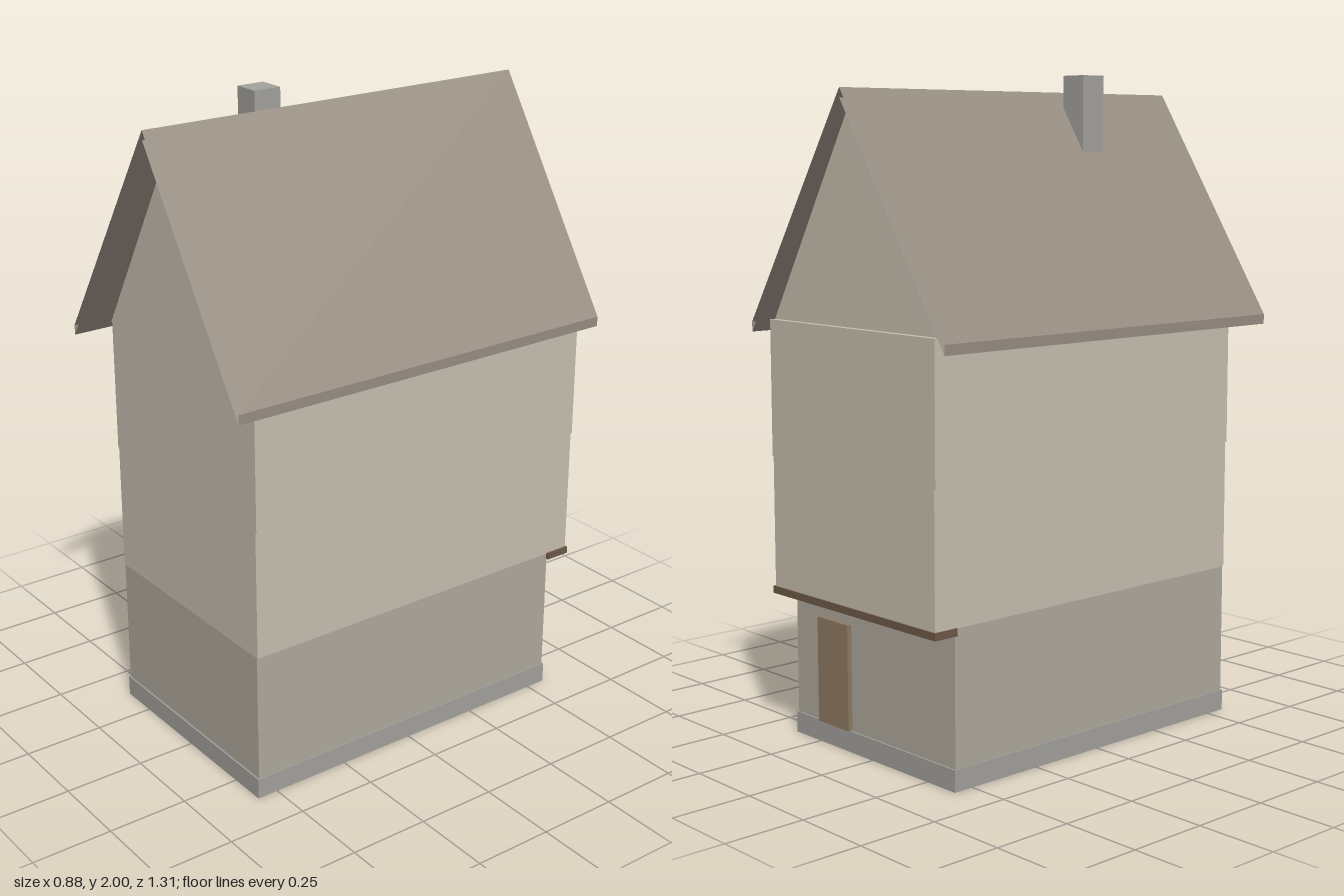
import * as THREE from 'three';

const mat = (color, side = THREE.FrontSide) =>
  new THREE.MeshStandardMaterial({ color, side, flatShading: true });

export function createModel() {
  const house = new THREE.Group();
  house.name = 'house';

  const plaster = mat(0xc8bfb0);
  const groundPlaster = mat(0xb1aa9d);
  const stone = mat(0xa3a29d);
  const timber = mat(0x6e5a48);
  const doorWood = mat(0x8f7a64);
  const tiles = mat(0x988e83, THREE.DoubleSide);

  // Box given by its extents on each axis
  function box(name, [x0, x1], [y0, y1], [z0, z1], material) {
    const mesh = new THREE.Mesh(new THREE.BoxGeometry(x1 - x0, y1 - y0, z1 - z0), material);
    mesh.position.set((x0 + x1) / 2, (y0 + y1) / 2, (z0 + z1) / 2);
    mesh.name = name;
    house.add(mesh);
  }

  // Storeys, each slightly wider than the one below; the upper ones jut out at the back
  box('plinth', [-0.37, 0.37], [0, 0.065], [-0.565, 0.567], stone);
  box('groundFloor', [-0.367, 0.367], [0.065, 0.47], [-0.56, 0.562], groundPlaster);
  box('middleFloor', [-0.371, 0.371], [0.47, 0.87], [-0.635, 0.562], plaster);
  box('upperFloor', [-0.376, 0.376], [0.87, 1.28], [-0.635, 0.562], plaster);

  // Beam under the overhang and back door
  box('jettyBeam', [-0.377, 0.377], [0.45, 0.472], [-0.64, -0.558], timber);
  box('door', [0.1, 0.245], [0.067, 0.39], [-0.575, -0.558], doorWood);

  // Gable walls at front and back
  const triangle = new THREE.Shape([
    new THREE.Vector2(-0.38, 1.278),
    new THREE.Vector2(0.38, 1.278),
    new THREE.Vector2(0, 1.92),
  ]);
  for (const [name, z] of [['frontGable', 0.543], ['backGable', -0.615]]) {
    const geometry = new THREE.ExtrudeGeometry(triangle, { depth: 0.02, bevelEnabled: false });
    const gable = new THREE.Mesh(geometry, plaster);
    gable.position.z = z;
    gable.name = name;
    house.add(gable);
  }

  // Roof slopes: outer sheet, eave edge and underside, open at the gable ends
  const profile = [[0, 1.95], [0.44, 1.27], [0.44, 1.24], [0, 1.922]];
  for (const side of [-1, 1]) {
    const positions = [];
    for (let i = 0; i < profile.length - 1; i++) {
      const [ax, ay] = profile[i];
      const [bx, by] = profile[i + 1];
      const a0 = [side * ax, ay, -0.655 * side], a1 = [side * ax, ay, 0.655 * side];
      const b0 = [side * bx, by, -0.655 * side], b1 = [side * bx, by, 0.655 * side];
      positions.push(...a0, ...a1, ...b1, ...a0, ...b1, ...b0);
    }
    const geometry = new THREE.BufferGeometry();
    geometry.setAttribute('position', new THREE.Float32BufferAttribute(positions, 3));
    geometry.computeVertexNormals();
    const slope = new THREE.Mesh(geometry, tiles);
    slope.name = side > 0 ? 'leftRoofSlope' : 'rightRoofSlope';
    house.add(slope);
  }

  // Chimney rising through the right slope
  box('chimney', [-0.115, -0.03], [1.28, 2], [0.18, 0.268], stone);

  return house;
}
